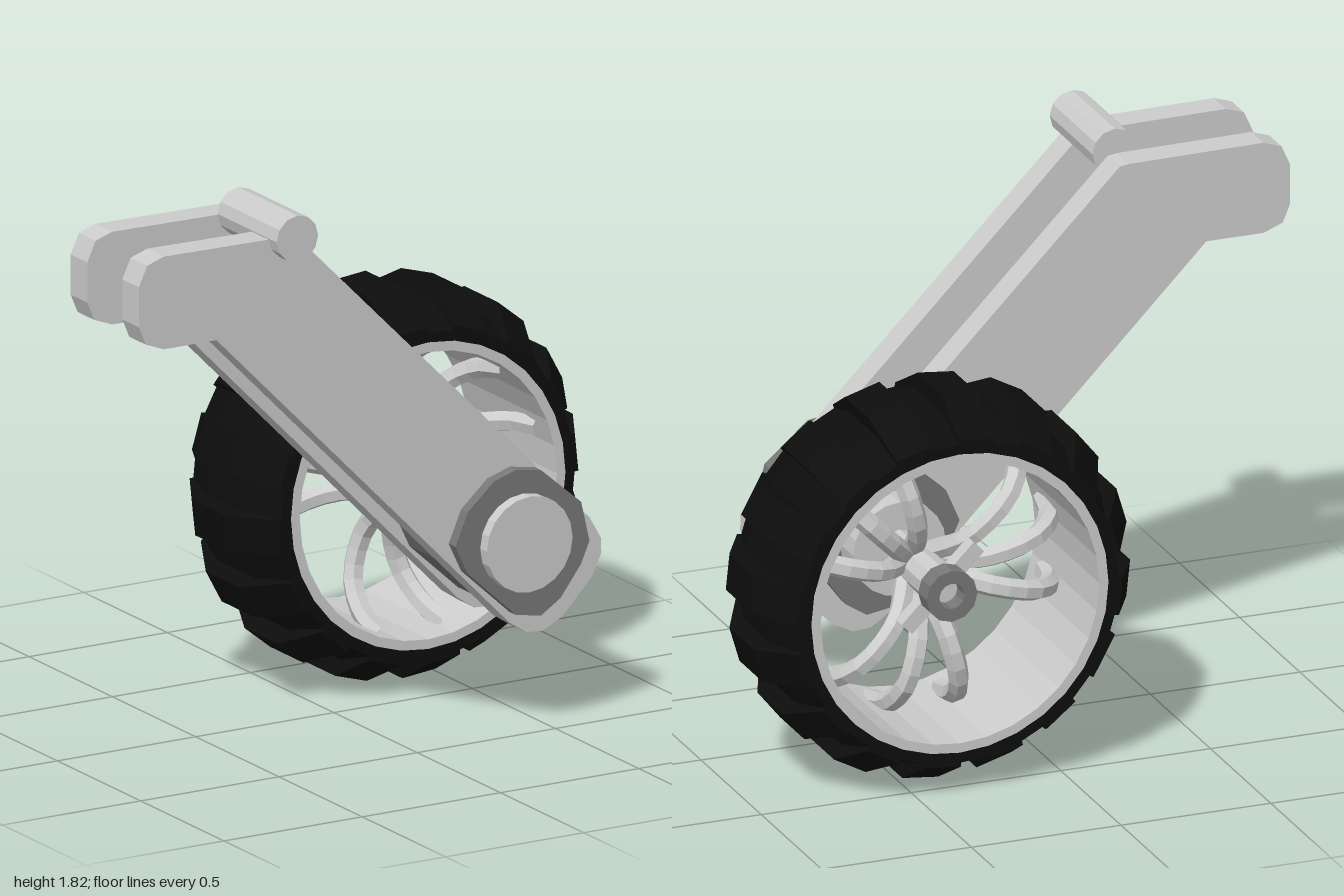
import * as THREE from 'three';

const mat = (color = 0xcccccc) => new THREE.MeshStandardMaterial({ color, flatShading: true });
const V2 = (p) => new THREE.Vector2(p[0], p[1]);
const shapeOf = (pts) => new THREE.Shape(pts.map(V2));

export function createModel() {
  const root = new THREE.Group();
  root.name = 'wheelAndSwingArm';
  const grey = mat(), darkGrey = mat(0x777777), rubber = mat(0x0d0d0d), black = mat(0x262626);
  const CX = 0.365, CY = 0.645;

  const add = (parent, name, geo, material, x = 0, y = 0, z = 0) => {
    const mesh = new THREE.Mesh(geo, material);
    mesh.name = name;
    mesh.position.set(x, y, z);
    parent.add(mesh);
    return mesh;
  };
  // flat outline extruded between two depths
  const slab = (pts, z0, z1) =>
    new THREE.ExtrudeGeometry(shapeOf(pts), { depth: z1 - z0, bevelEnabled: false }).translate(0, 0, z0);
  // cylinder lying along z between two depths
  const rodZ = (r, z0, z1, sides) =>
    new THREE.CylinderGeometry(r, r, z1 - z0, sides).rotateX(Math.PI / 2).translate(0, 0, (z0 + z1) / 2);
  // closed [radius, z] profile turned around z
  const turned = (pts, sides) =>
    new THREE.LatheGeometry([...pts, pts[0]].map(V2), sides).rotateX(Math.PI / 2);

  // twin arm plates
  const armOutline = [
    [-0.91, 1.755], [-0.97, 1.735], [-1, 1.67], [-1, 1.54], [-0.975, 1.48], [-0.91, 1.455],
    [-0.72, 1.455], [0.34, 0.375], [0.4, 0.335], [0.46, 0.33], [0.53, 0.365], [0.64, 0.48],
    [0.672, 0.55], [0.67, 0.6], [0.63, 0.67], [-0.43, 1.745], [-0.46, 1.75],
  ];
  add(root, 'innerArmPlate', slab(armOutline, 0.08, 0.18), grey);
  add(root, 'outerArmPlate', slab(armOutline, 0.39, 0.49), grey);

  // pin across the top of the arm
  add(root, 'topPin', rodZ(0.075, 0.185, 0.54, 12), grey, -0.457, 1.755);

  // faceted bearing block and the axle through it
  const block = [
    [0.34, 0.88], [0.26, 0.855], [0.165, 0.77], [0.12, 0.665], [0.165, 0.57], [0.34, 0.41],
    [0.43, 0.395], [0.5, 0.44], [0.575, 0.54], [0.605, 0.61], [0.575, 0.74], [0.43, 0.865],
  ];
  add(root, 'bearingBlock', slab(block, 0.04, 0.53), darkGrey);
  add(root, 'axle', rodZ(0.155, -0.07, 0.57, 20), grey, CX, CY);

  // damper between the plates
  const damper = new THREE.Group();
  damper.name = 'damper';
  damper.position.set(-0.475, 1.482, 0.285);
  damper.rotation.z = Math.PI / 4;
  root.add(damper);
  const capProfile = [[0, -0.18], [0.06, -0.18], [0.095, -0.13], [0.095, 0.13], [0.06, 0.18], [0, 0.18]];
  add(damper, 'damperCap', new THREE.LatheGeometry(capProfile.map(V2), 12), black);
  add(damper, 'damperRod', new THREE.CylinderGeometry(0.064, 0.064, 0.95, 12), grey, 0, -0.55, 0);

  // wheel
  const wheel = new THREE.Group();
  wheel.name = 'wheel';
  wheel.position.set(CX, CY, -0.305);
  root.add(wheel);

  add(wheel, 'tyre', turned([
    [0.49, -0.265], [0.53, -0.265], [0.58, -0.11], [0.58, 0.11], [0.53, 0.265], [0.49, 0.265],
  ], 32), rubber);
  add(wheel, 'rim', turned([
    [0.465, -0.266], [0.496, -0.266], [0.496, 0.266], [0.465, 0.266],
  ], 32), grey);

  // tread lugs
  const lugProfile = [
    [0.51, -0.265], [0.54, -0.265], [0.632, -0.1], [0.632, 0.1], [0.54, 0.265], [0.51, 0.265],
  ];
  const lugGeo = slab(lugProfile, -0.06, 0.06).rotateX(Math.PI / 2);
  for (let i = 0; i < 16; i++) {
    add(wheel, 'treadLug', lugGeo, rubber).rotation.z = THREE.MathUtils.degToRad(6 + i * 22.5);
  }

  // hub shaft, end ring and cross bar
  add(wheel, 'hubShaft', rodZ(0.065, -0.14, 0.28, 10), grey);
  add(wheel, 'hubRing', turned([[0.042, -0.2], [0.085, -0.2], [0.085, -0.13], [0.042, -0.13]], 12), darkGrey);
  add(wheel, 'hubCrossBar', new THREE.BoxGeometry(0.34, 0.05, 0.05), grey, 0, 0, -0.1)
    .rotation.z = -Math.PI / 4;

  // bowed spokes in three groups of three
  const spokePath = new THREE.CatmullRomCurve3(
    [[0.05, 0.1], [0.18, -0.04], [0.34, -0.05], [0.44, 0.05], [0.475, 0.18]]
      .map(([r, z]) => new THREE.Vector3(r, 0, z)));
  const spokeGeo = new THREE.TubeGeometry(spokePath, 12, 0.034, 6, false);
  for (const middle of [45, 165, 285]) {
    for (const offset of [-29, 0, 29]) {
      add(wheel, 'spoke', spokeGeo, grey).rotation.z = THREE.MathUtils.degToRad(middle + offset);
    }
  }
  return root;
}
